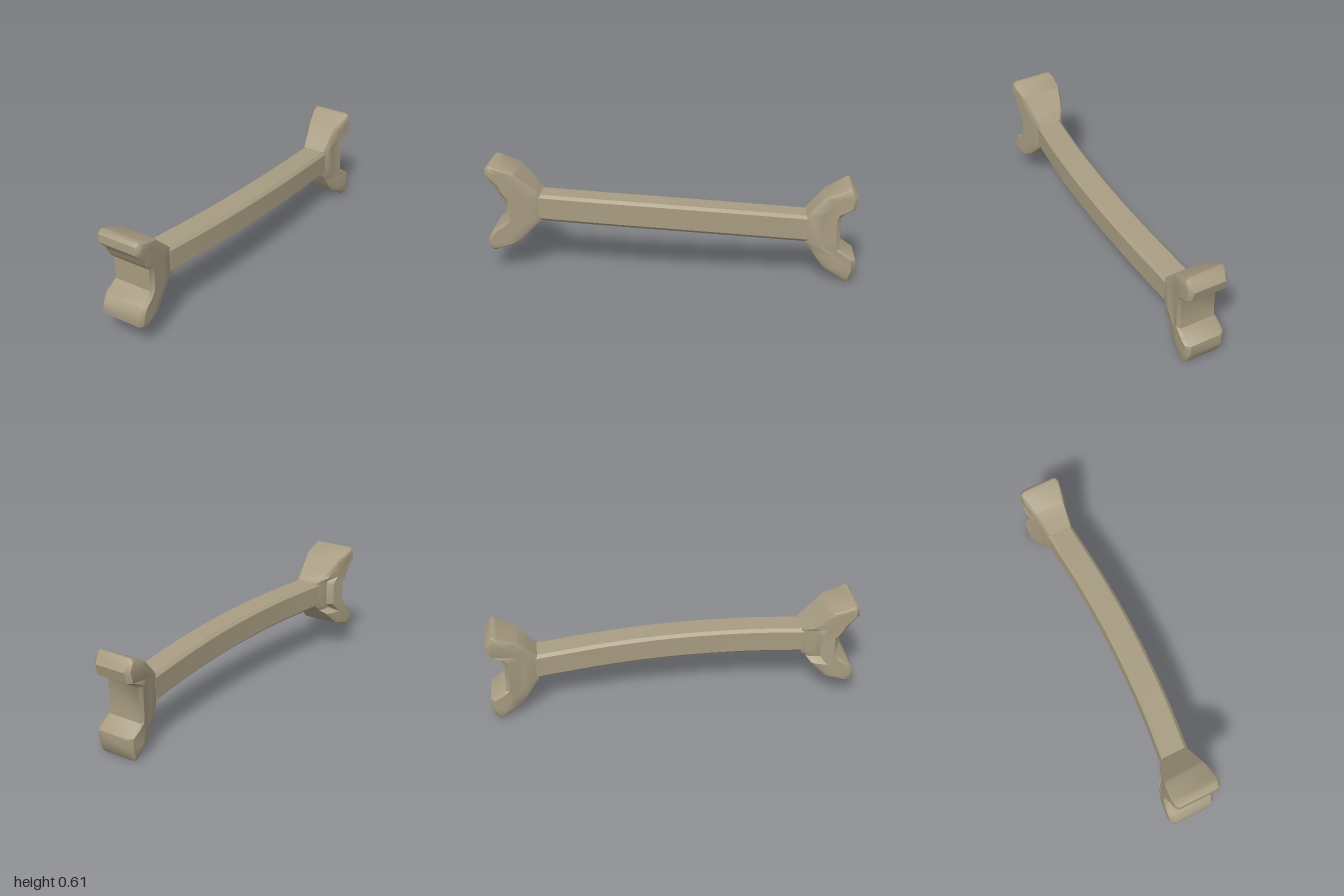
import * as THREE from 'three';
import { mergeVertices, toCreasedNormals } from 'three/addons/utils/BufferGeometryUtils.js';

// Skin a list of equal-length point rings and close both ends
function loft(rings, crease) {
  const n = rings[0].length, pos = [], idx = [];
  rings.forEach(r => r.forEach(p => pos.push(...p)));
  for (let i = 0; i < rings.length - 1; i++) {
    for (let j = 0; j < n; j++) {
      const a = i * n + j, b = i * n + (j + 1) % n;
      idx.push(a, b, a + n, b, b + n, a + n);
    }
  }
  [0, rings.length - 1].forEach((r, end) => {
    const centre = pos.length / 3;
    pos.push(...[0, 1, 2].map(k => rings[r].reduce((s, p) => s + p[k], 0) / n));
    for (let j = 0; j < n; j++) {
      const a = r * n + j, b = r * n + (j + 1) % n;
      idx.push(...(end ? [centre, a, b] : [centre, b, a]));
    }
  });
  // Turn the faces outward whichever way the rings run
  let volume = 0;
  const v = k => new THREE.Vector3().fromArray(pos, k * 3);
  for (let i = 0; i < idx.length; i += 3) {
    volume += v(idx[i]).dot(v(idx[i + 1]).cross(v(idx[i + 2])));
  }
  if (volume < 0) idx.reverse();
  const g = new THREE.BufferGeometry();
  g.setAttribute('position', new THREE.Float32BufferAttribute(pos, 3));
  g.setIndex(idx);
  return toCreasedNormals(mergeVertices(g), crease);
}

// Piecewise-linear lookup in [key, value] pairs
function lookup(table, t) {
  if (t <= table[0][0]) return table[0][1];
  for (let i = 1; i < table.length; i++) {
    const [a, va] = table[i - 1], [b, vb] = table[i];
    if (t <= b) return va + (vb - va) * (t - a) / (b - a);
  }
  return table[table.length - 1][1];
}

// Forked end stacked from horizontal slices.
// slice: [y, inner distance, outer distance, side inset, hollow beside the web]
function head(slices, right, left, dir, hollowSide) {
  const rings = slices.map(([y, dIn, dOut, inset, hollow]) => {
    const len = dOut - dIn, c = Math.min(0.022, len * 0.3);
    const side = (table, s) => {
      const ds = [dIn, dIn + c, dIn + len * 0.42, dIn + len * 0.5, dOut - c, dOut];
      return ds.map((d, i) => {
        let x = lookup(table, d) - s * inset;
        if (hollow && s === hollowSide && i < 3) x = table[0][1] + s * 0.006 * i;
        if (i === 0) x -= s * 0.008;
        if (i === 5) x -= s * 0.016;
        return [x, y, d * dir];
      });
    };
    return [...side(left, 1), ...side(right, -1).reverse()];
  });
  return loft(rings, 0.65);
}

export function createModel() {
  const group = new THREE.Group();
  const material = new THREE.MeshStandardMaterial({ color: 0xa89c82 });
  const add = (name, geometry) => {
    const mesh = new THREE.Mesh(geometry, material);
    mesh.name = name;
    group.add(mesh);
  };

  // Gently bowed shaft with bevelled edges
  const bow = new THREE.CatmullRomCurve3([
    [0.004, 0.367, 0.72], [0.042, 0.362, 0.4], [0.065, 0.348, 0],
    [0.064, 0.327, -0.35], [0.044, 0.295, -0.74],
  ].map(p => new THREE.Vector3(...p)));
  const h = 0.074, b = 0.058;
  const section = [[h, -b], [h, b], [b, h], [-b, h], [-h, b], [-h, -b], [-b, -h], [b, -h]];
  add('shaft', loft(bow.getPoints(20).map(p =>
    section.map(([x, y]) => [p.x + x, p.y + y, p.z])), 0.5));

  // Front fork, hollowed on its right side
  add('frontFork', head([
    [0.126, 0.955, 0.982, 0.014, 0], [0.14, 0.925, 0.998, 0.003, 0],
    [0.165, 0.84, 1, 0, 0], [0.2, 0.805, 0.997, 0, 0],
    [0.24, 0.765, 0.97, 0, 0], [0.265, 0.74, 0.93, 0, 1],
    [0.295, 0.71, 0.9, 0, 1], [0.42, 0.71, 0.9, 0, 1],
    [0.44, 0.71, 0.92, 0, 1], [0.465, 0.735, 0.935, 0, 0],
    [0.5, 0.775, 0.95, 0, 0], [0.55, 0.83, 1, 0, 0],
    [0.57, 0.85, 1, 0, 0], [0.595, 0.93, 0.998, 0.003, 0],
    [0.61, 0.96, 0.982, 0.014, 0],
  ],
  [[0.71, -0.07], [0.76, -0.108], [0.85, -0.136], [0.95, -0.149], [1, -0.145]],
  [[0.71, 0.078], [0.85, 0.1], [0.95, 0.112], [1, 0.11]], 1, -1));

  // Back fork, hollowed on its left side
  add('backFork', head([
    [0.002, 0.945, 0.967, 0.014, 0], [0.02, 0.925, 0.978, 0.003, 0],
    [0.075, 0.83, 1, 0, 0], [0.13, 0.79, 0.998, 0, 0],
    [0.16, 0.77, 0.95, 0, 0], [0.185, 0.755, 0.912, 0, 1],
    [0.22, 0.73, 0.91, 0, 1], [0.37, 0.73, 0.91, 0, 1],
    [0.39, 0.747, 0.925, 0, 1], [0.42, 0.775, 0.985, 0, 0],
    [0.48, 0.83, 1, 0, 0], [0.525, 0.925, 0.972, 0.003, 0],
    [0.54, 0.945, 0.96, 0.014, 0],
  ],
  [[0.73, -0.03], [0.83, -0.052], [0.9, -0.083], [0.97, -0.083], [1, -0.074]],
  [[0.73, 0.117], [0.83, 0.124], [0.9, 0.143], [0.97, 0.147], [1, 0.138]], -1, 1));

  return group;
}
